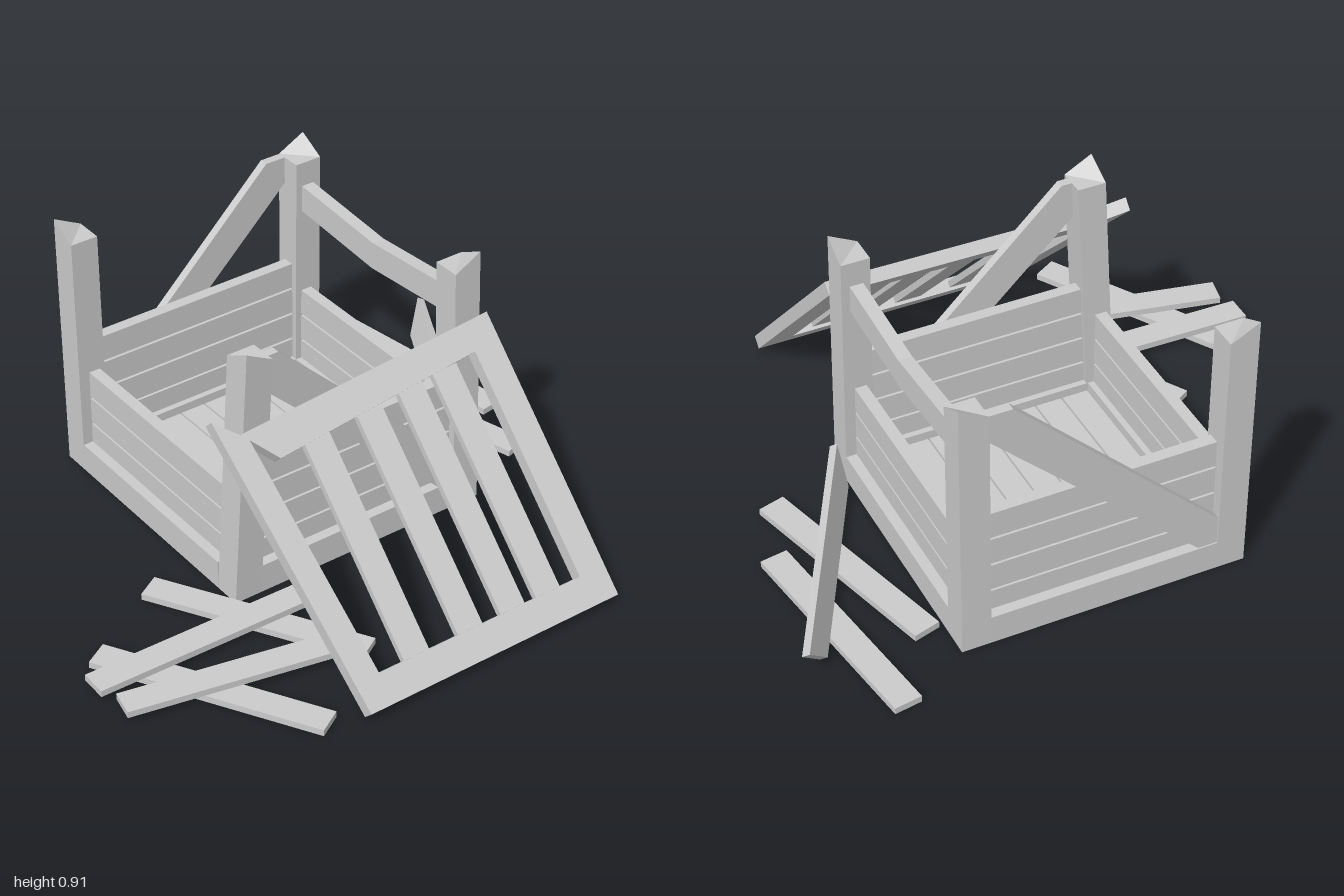
import * as THREE from 'three';

const material = new THREE.MeshStandardMaterial({ color: 0xcccccc, flatShading: true });

function addMesh(parent, name, geometry) {
  const mesh = new THREE.Mesh(geometry, material);
  mesh.name = name;
  parent.add(mesh);
  return mesh;
}

// Box given by its min and max on each axis
function addBox(parent, name, [x0, x1], [y0, y1], [z0, z1]) {
  const geo = new THREE.BoxGeometry(x1 - x0, y1 - y0, z1 - z0);
  geo.translate((x0 + x1) / 2, (y0 + y1) / 2, (z0 + z1) / 2);
  return addMesh(parent, name, geo);
}

// Flat polygon in XY, thickened evenly around z = 0
function prism(points, depth) {
  const shape = new THREE.Shape(points.map(([x, y]) => new THREE.Vector2(x, y)));
  const geo = new THREE.ExtrudeGeometry(shape, { depth, bevelEnabled: false });
  return geo.translate(0, 0, -depth / 2);
}

// Post with its outer top corner raised to a point; the shaft leans by (leanX, leanZ)
function addPost(parent, name, x, z, quarterTurns, leanX, leanZ) {
  const geo = new THREE.BoxGeometry(0.096, 0.86, 0.096);
  geo.translate(0, 0.43, 0);
  const p = geo.attributes.position;
  for (let i = 0; i < p.count; i++) {
    if (p.getY(i) > 0.5 && p.getX(i) > 0 && p.getZ(i) > 0) p.setY(i, 0.91);
  }
  geo.rotateY(quarterTurns * Math.PI / 2);
  for (let i = 0; i < p.count; i++) {
    const t = p.getY(i) / 0.9;
    p.setX(i, p.getX(i) + leanX * t);
    p.setZ(i, p.getZ(i) + leanZ * t);
  }
  geo.computeVertexNormals();
  addMesh(parent, name, geo).position.set(x, 0, z);
}

// Loose board lying flat between two ground points
function addBoard(parent, [x0, z0], [x1, z1], y) {
  const geo = new THREE.BoxGeometry(Math.hypot(x1 - x0, z1 - z0), 0.022, 0.092);
  const board = addMesh(parent, 'looseBoard', geo);
  board.position.set((x0 + x1) / 2, y, (z0 + z1) / 2);
  board.rotation.y = -Math.atan2(z1 - z0, x1 - x0);
}

export function createModel() {
  const model = new THREE.Group();
  model.name = 'brokenCrate';

  // Outer faces of the crate and the inner edges of its posts
  const X0 = -0.75, X1 = 0.21, Z0 = -0.54, Z1 = 0.41, W = 0.096;
  const innerX = [X0 + W, X1 - W], innerZ = [Z0 + W, Z1 - W];

  // Corner posts
  addPost(model, 'frontRightPost', X0 + W / 2, Z1 - W / 2, 3, -0.003, 0.005);
  addPost(model, 'backRightPost', X0 + W / 2, Z0 + W / 2, 2, 0.004, 0);
  addPost(model, 'frontLeftPost', X1 - W / 2, Z1 - W / 2, 0, 0.018, -0.04);
  addPost(model, 'backLeftPost', X1 - W / 2, Z0 + W / 2, 1, -0.03, 0);

  // Base frame
  addBox(model, 'baseBeam', innerX, [0, 0.1], [Z1 - W, Z1]);
  addBox(model, 'baseBeam', innerX, [0, 0.1], [Z0, Z0 + W]);
  addBox(model, 'baseBeam', [X0, X0 + W], [0, 0.1], innerZ);
  addBox(model, 'baseBeam', [X1 - W, X1], [0, 0.1], innerZ);

  // Floor planks
  const floorCount = 8, step = (innerZ[1] - innerZ[0]) / floorCount;
  for (let i = 0; i < floorCount; i++) {
    const z = innerZ[0] + i * step;
    addBox(model, 'floorPlank', innerX, [0.02, 0.07], [z + 0.003, z + step - 0.003]);
  }

  // Wall planks: lower at front and back, one plank higher at the sides
  const edges = [0.1, 0.175, 0.275, 0.375, 0.475];
  for (let i = 0; i < 4; i++) {
    const y = [edges[i] + (i ? 0.004 : 0), edges[i + 1] - 0.004];
    if (i < 3) {
      addBox(model, 'frontPlank', innerX, y, [Z1 - 0.075, Z1 - 0.035]);
      addBox(model, 'backPlank', innerX, y, [Z0 + 0.035, Z0 + 0.075]);
    }
    addBox(model, 'sidePlank', [X0 + 0.035, X0 + 0.075], y, innerZ);
    addBox(model, 'sidePlank', [X1 - 0.075, X1 - 0.035], y, innerZ);
  }

  // Sagging rail across the back
  const rail = prism([[-0.66, 0.68], [-0.27, 0.65], [0.11, 0.68],
    [0.11, 0.775], [-0.27, 0.745], [-0.66, 0.775]], 0.045);
  addMesh(model, 'saggingBackRail', rail).position.z = Z0 + 0.05;

  // Diagonal side braces, falling in opposite directions
  const brace = [[-0.45, 0.86], [-0.37, 0.86], [0.32, 0.19], [0.32, 0.1], [0.25, 0.1], [-0.45, 0.77]];
  const flipped = brace.map(([z, y]) => [-0.13 - z, y]);
  for (const [pts, x] of [[brace, X0 + 0.02], [flipped, X1 - 0.02]]) {
    const geo = prism(pts.map(([z, y]) => [-z, y]), 0.03).rotateY(Math.PI / 2);
    addMesh(model, 'diagonalBrace', geo).position.x = x;
  }

  // Fallen slatted panel: local x runs up the slope, local z is across
  const panel = new THREE.Group();
  panel.name = 'fallenPanel';
  panel.position.set(0.884, 0.018, 0);
  panel.rotation.z = Math.PI * 0.75;
  model.add(panel);
  const frame = {
    bottomRail: [[0, -0.54], [0.1, -0.44], [0.1, 0.33], [0, 0.41]],
    backRail: [[0, -0.54], [0.96, -0.54], [0.86, -0.44], [0.1, -0.44]],
    topRail: [[0.96, -0.54], [0.9, 0.42], [0.79, 0.33], [0.86, -0.44]],
    frontRail: [[0, 0.41], [0.1, 0.33], [0.88, 0.4], [0.965, 0.49]],
  };
  for (const [name, pts] of Object.entries(frame)) {
    addMesh(panel, name, prism(pts, 0.044).rotateX(Math.PI / 2));
  }
  for (const z of [-0.32, -0.182, -0.018, 0.185]) {
    addBox(panel, 'slat', [0.09, 0.85], [-0.011, 0.011], [z - 0.047, z + 0.047]);
  }

  // Loose boards in front, two resting on two
  addBoard(model, [0.0, 0.595], [0.64, 0.22], 0.011);
  addBoard(model, [0.18, 0.9], [0.84, 0.515], 0.011);
  addBoard(model, [0.315, 0.995], [0.33, 0.235], 0.034);
  addBoard(model, [0.44, 0.975], [0.595, 0.235], 0.034);

  // Loose boards behind
  addBoard(model, [-0.89, -0.775], [-0.137, -0.89], 0.011);
  addBoard(model, [-0.635, -0.6], [0.095, -0.805], 0.011);

  // Broken brace tipped on its edge over the back boards
  const broken = prism([[-0.385, -0.052], [0.385, -0.052], [0.475, 0.052], [-0.475, 0.052]], 0.025);
  broken.rotateX(-0.4);
  const tipped = addMesh(model, 'brokenBrace', broken);
  tipped.position.set(-0.27, 0.073, -0.765);
  tipped.rotation.y = -0.483;

  return model;
}
